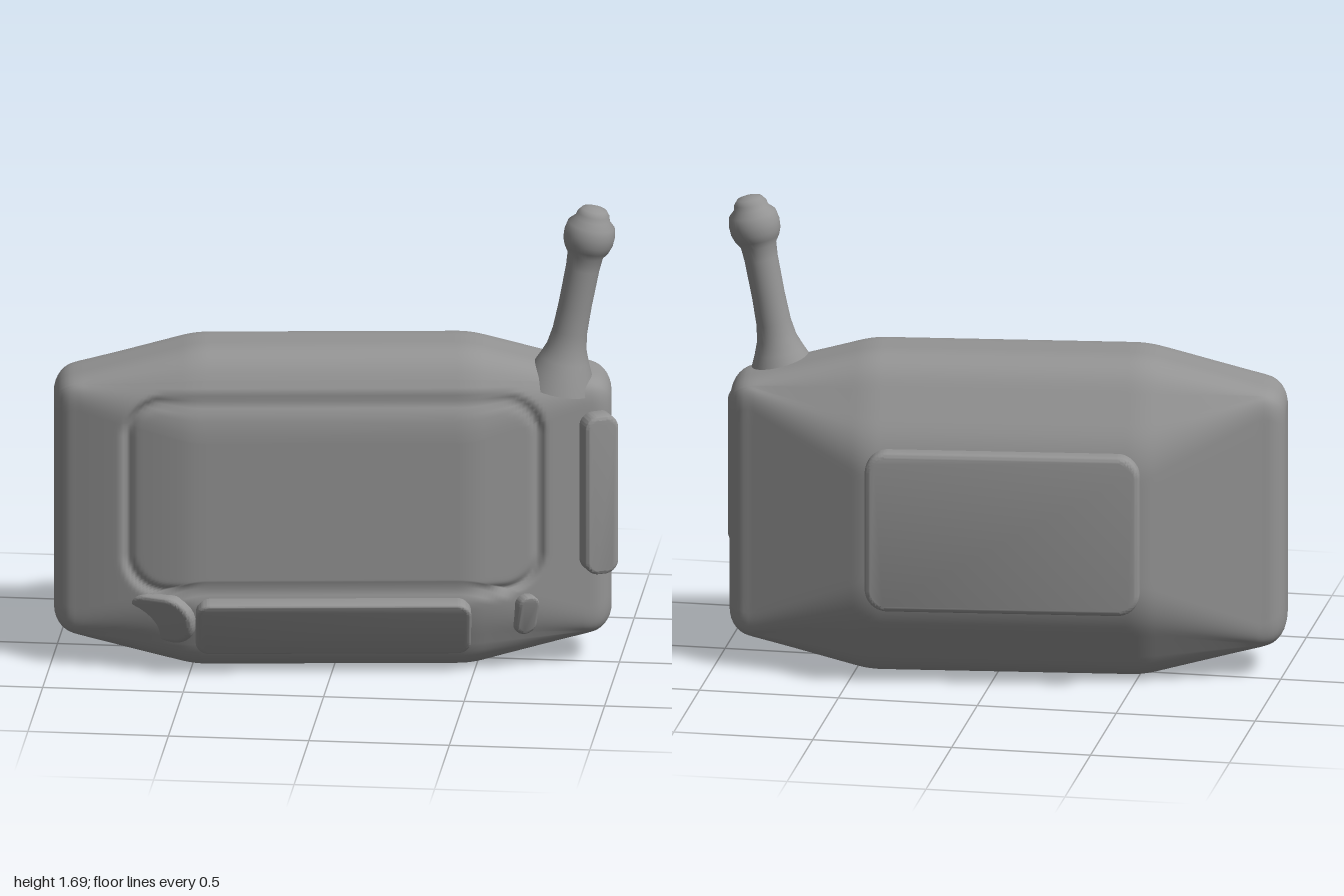
import * as THREE from 'three';
import { toCreasedNormals } from 'three/addons/utils/BufferGeometryUtils.js';

const material = new THREE.MeshStandardMaterial({ color: 0x949494 });

function mesh(name, geometry) {
  const m = new THREE.Mesh(geometry, material);
  m.name = name;
  return m;
}

// Closed [z, y] section with filleted corners and a fixed point count per edge
const EDGE_STEPS = [10, 10, 80, 6, 10, 8, 14, 8];
function section(corners, radius) {
  const p = corners.map(([z, y]) => new THREE.Vector2(z, y));
  const n = p.length;
  const toward = (a, b) => a.clone().lerp(b, Math.min(0.45, radius / a.distanceTo(b)));
  const pts = [];
  for (let i = 0; i < n; i++) {
    const prev = p[(i + n - 1) % n], next = p[(i + 1) % n];
    const out = toward(p[i], next);
    pts.push(...new THREE.QuadraticBezierCurve(toward(p[i], prev), p[i], out).getPoints(8));
    const end = toward(next, p[i]);
    for (let k = 1; k < EDGE_STEPS[i]; k++) pts.push(out.clone().lerp(end, k / EDGE_STEPS[i]));
  }
  return pts;
}

// Signed distance inside a rounded rectangle (positive inside)
function insideRoundRect(x, y, hw, hh, r) {
  const dx = Math.abs(x) - hw + r, dy = Math.abs(y) - hh + r;
  return r - Math.hypot(Math.max(dx, 0), Math.max(dy, 0)) - Math.min(Math.max(dx, dy), 0);
}

// Body: middle section blended to a smaller end section, with a grooved screen
function bodyGeometry() {
  const mid = section([[-0.14, 1.175], [0.165, 1.175], [0.275, 0.97], [0.275, 0.25],
    [0.19, 0], [-0.16, 0], [-0.322, 0.3], [-0.322, 0.88]], 0.1);
  const end = section([[-0.09, 1.065], [0.11, 1.065], [0.165, 1.03], [0.165, 0.15],
    [0.12, 0.105], [-0.09, 0.105], [-0.14, 0.15], [-0.14, 1.03]], 0.06);
  const half = 0.987, round = 0.09, n = mid.length;

  const rings = [];
  for (let k = 8; k >= 1; k--) rings.push([-1, k / 8]);
  for (let k = 0; k <= 140; k++) rings.push([(k / 70 - 1) * (half - round), 0]);
  for (let k = 1; k <= 8; k++) rings.push([1, k / 8]);

  const pos = [], idx = [];
  for (const [u, arc] of rings) {
    const a = arc * Math.PI / 2;
    const x = arc ? u * (half - round + round * Math.sin(a)) : u;
    const inset = round * (1 - Math.cos(a));
    const s = THREE.MathUtils.clamp((Math.abs(x) - 0.44) / 0.47, 0, 1);
    const t = (s < 0.2 ? s * s / 0.4 : s - 0.1) / 0.9;
    for (let j = 0; j < n; j++) {
      const q = mid[j].clone().lerp(end[j], t);
      // The left front bevel is fuller than the right one
      if (x < 0 && mid[j].x > 0.1) q.x = THREE.MathUtils.lerp(mid[j].x, end[j].x, t ** 1.4);
      let z = 0.01 + (q.x - 0.01) * (1 - inset / 0.15);
      const y = 0.58 + (q.y - 0.58) * (1 - inset / 0.48);
      if (q.x > 0.1) {
        const d = insideRoundRect(x, y - 0.66, 0.75, 0.37, 0.15);
        z -= 0.012 * THREE.MathUtils.smoothstep(d, 0, 0.025)
          + 0.014 * Math.exp(-(((d - 0.022) / 0.016) ** 2));
      }
      pos.push(x, y, z);
    }
  }
  for (let i = 0; i < rings.length - 1; i++) {
    for (let j = 0; j < n; j++) {
      const a = i * n + j, b = i * n + (j + 1) % n;
      idx.push(a, b, a + n, b, b + n, a + n);
    }
  }
  // End caps
  const last = (rings.length - 1) * n, c = rings.length * n;
  pos.push(-half, 0.58, 0.01, half, 0.58, 0.01);
  for (let j = 0; j < n; j++) {
    const k = (j + 1) % n;
    idx.push(c, k, j, c + 1, last + j, last + k);
  }
  const g = new THREE.BufferGeometry();
  g.setAttribute('position', new THREE.Float32BufferAttribute(pos, 3));
  g.setIndex(idx);
  g.computeVertexNormals();
  return g;
}

// Rounded plate whose face lies at z = 0, leaning by a shear of z along y
function plate(name, w, h, r, depth, bevel, shear = 0) {
  const x = w / 2, y = h / 2, s = new THREE.Shape();
  s.absarc(x - r, y - r, r, 0, Math.PI / 2);
  s.absarc(r - x, y - r, r, Math.PI / 2, Math.PI);
  s.absarc(r - x, r - y, r, Math.PI, Math.PI * 1.5);
  s.absarc(x - r, r - y, r, Math.PI * 1.5, Math.PI * 2);
  const g = new THREE.ExtrudeGeometry(s, {
    depth: depth - 2 * bevel, bevelThickness: bevel, bevelSize: bevel,
    bevelOffset: -bevel, bevelSegments: 5, curveSegments: 12,
  });
  g.translate(0, 0, bevel - depth);
  const p = g.attributes.position;
  for (let i = 0; i < p.count; i++) p.setZ(i, p.getZ(i) + shear * p.getY(i));
  return mesh(name, toCreasedNormals(g, 0.7));
}

export function createModel() {
  const model = new THREE.Group();
  model.name = 'handheldDevice';

  // Case, turned slightly about the vertical axis
  const shell = new THREE.Group();
  shell.name = 'case';
  shell.rotation.y = 0.115;
  shell.position.set(-0.02, 0, 0.002);
  model.add(shell);
  shell.add(mesh('body', bodyGeometry()));

  const backPanel = plate('backPanel', 0.975, 0.59, 0.08, 0.12, 0.02);
  backPanel.position.set(0, 0.59, -0.362);
  backPanel.rotation.y = Math.PI;
  shell.add(backPanel);

  const lowerPanel = plate('lowerFrontPanel', 0.975, 0.22, 0.05, 0.14, 0.015, 0.55);
  lowerPanel.position.set(0, 0.18, 0.295);
  shell.add(lowerPanel);

  const largeButton = plate('largeButton', 0.25, 0.19, 0.09, 0.1, 0.02, 0.4);
  largeButton.position.set(-0.62, 0.205, 0.247);
  largeButton.rotation.y = -0.42;
  shell.add(largeButton);

  const smallButton = plate('smallButton', 0.08, 0.155, 0.039, 0.08, 0.012, 0.35);
  smallButton.position.set(0.69, 0.215, 0.245);
  smallButton.rotation.y = 0.35;
  shell.add(smallButton);

  // Side grip on the front right edge
  const grip = plate('sideGrip', 0.125, 0.59, 0.05, 0.09, 0.015);
  grip.position.set(0.953, 0.655, 0.113);
  grip.rotation.y = 0.45;
  model.add(grip);

  // Antenna with flared foot and knob
  const profile = [[0.13, -0.03], [0.108, 0.03], [0.088, 0.075], [0.071, 0.12], [0.062, 0.18],
    [0.059, 0.28], [0.06, 0.42], [0.064, 0.47], [0.08, 0.495], [0.089, 0.52], [0.091, 0.55],
    [0.084, 0.585], [0.062, 0.607], [0.058, 0.625], [0.045, 0.642], [0.02, 0.65], [0, 0.65]];
  const antenna = mesh('antenna', new THREE.LatheGeometry(
    profile.map(([r, y]) => new THREE.Vector2(r, y)), 40));
  antenna.position.set(0.789, 1.05, -0.012);
  antenna.rotation.z = -0.19;
  model.add(antenna);

  return model;
}
